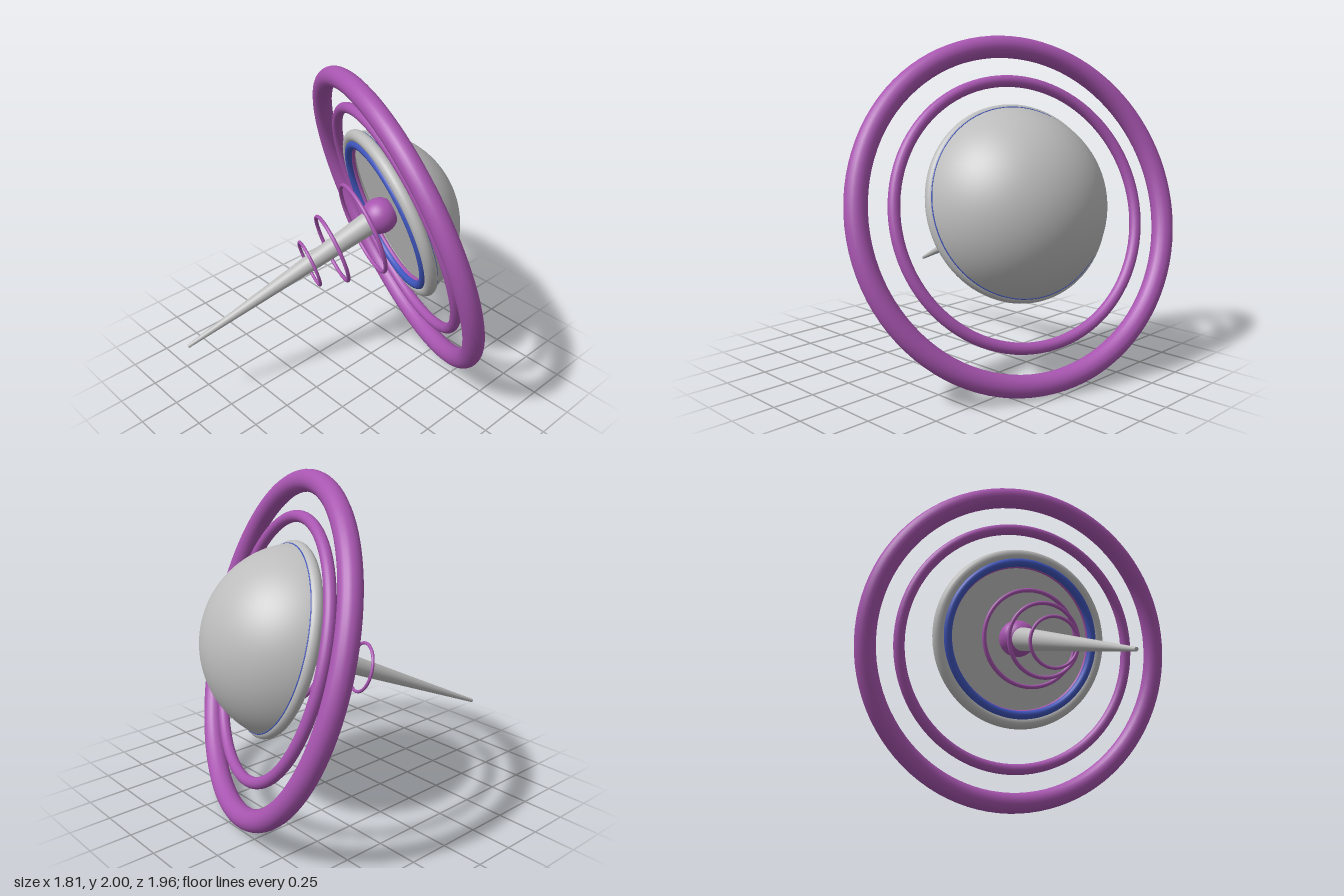
import * as THREE from 'three';

const purple = new THREE.MeshStandardMaterial({ color: 0xa855b0 });
purple.name = 'purple';
const grey = new THREE.MeshStandardMaterial({ color: 0xbcbcbc });
grey.name = 'light grey';
const blue = new THREE.MeshStandardMaterial({ color: 0x3f55bd });
blue.name = 'blue';

// Shared facing direction of the dish and all rings
const facing = new THREE.Vector3(0.9, 0.28, 0.335).normalize();
const Z = new THREE.Vector3(0, 0, 1);
const Y = new THREE.Vector3(0, 1, 0);

export function createModel() {
  const model = new THREE.Group();

  function add(name, geometry, material, parent = model) {
    const mesh = new THREE.Mesh(geometry, material);
    mesh.name = name;
    parent.add(mesh);
    return mesh;
  }

  function ring(name, center, radius, tube, material = purple) {
    const mesh = add(name, new THREE.TorusGeometry(radius, tube, 20, 96), material);
    mesh.position.set(...center);
    mesh.quaternion.setFromUnitVectors(Z, facing);
  }

  // Large halo rings
  ring('outerRing', [0.413, 1.003, 0], 0.973, 0.064);
  ring('innerRing', [0.42, 1.005, 0], 0.767, 0.034);

  // Small rings around the spike
  ring('spikeRingSmall', [-0.112, 0.814, -0.2], 0.149, 0.01);
  ring('spikeRingMedium', [0.03, 0.888, -0.146], 0.222, 0.012);
  ring('spikeRingLarge', [0.226, 0.985, -0.075], 0.3, 0.013);

  // Dish, built facing +z
  const dish = new THREE.Group();
  dish.name = 'dish';
  dish.position.set(0.42, 1.065, 0);
  dish.quaternion.setFromUnitVectors(Z, facing);
  model.add(dish);

  const domeRadius = 0.583, rimRadius = 0.55, depth = 0.193;
  const capAngle = Math.acos(depth / domeRadius);
  const cap = new THREE.SphereGeometry(domeRadius, 72, 32, 0, Math.PI * 2, 0, capAngle);
  cap.rotateX(Math.PI / 2).translate(0, 0, -depth);
  add('dome', cap, grey, dish);
  add('dishBack', new THREE.CircleGeometry(rimRadius, 72).rotateY(Math.PI), grey, dish);

  // Rim rings: [name, radius, tube, offset along the axis, material]
  const rims = [
    ['rim', 0.535, 0.04, -0.035, grey],
    ['rimSeam', rimRadius, 0.004, 0, blue],
    ['backTrim', 0.487, 0.027, -0.06, blue],
    ['backTrimInner', 0.468, 0.014, -0.04, purple],
  ];
  for (const [name, radius, tube, offset, material] of rims) {
    add(name, new THREE.TorusGeometry(radius, tube, 16, 96), material, dish).position.z = offset;
  }

  // Hub ball and tapered spike
  const hub = new THREE.Vector3(0.363, 1.03, -0.063);
  const tip = new THREE.Vector3(-0.905, 0.455, -0.43);
  add('hub', new THREE.SphereGeometry(0.116, 40, 24), purple).position.copy(hub);

  const axis = hub.clone().sub(tip);
  const spike = add('spike', new THREE.CylinderGeometry(0.078, 0.011, axis.length(), 40), grey);
  spike.position.copy(hub).add(tip).multiplyScalar(0.5);
  spike.quaternion.setFromUnitVectors(Y, axis.normalize());

  return model;
}
